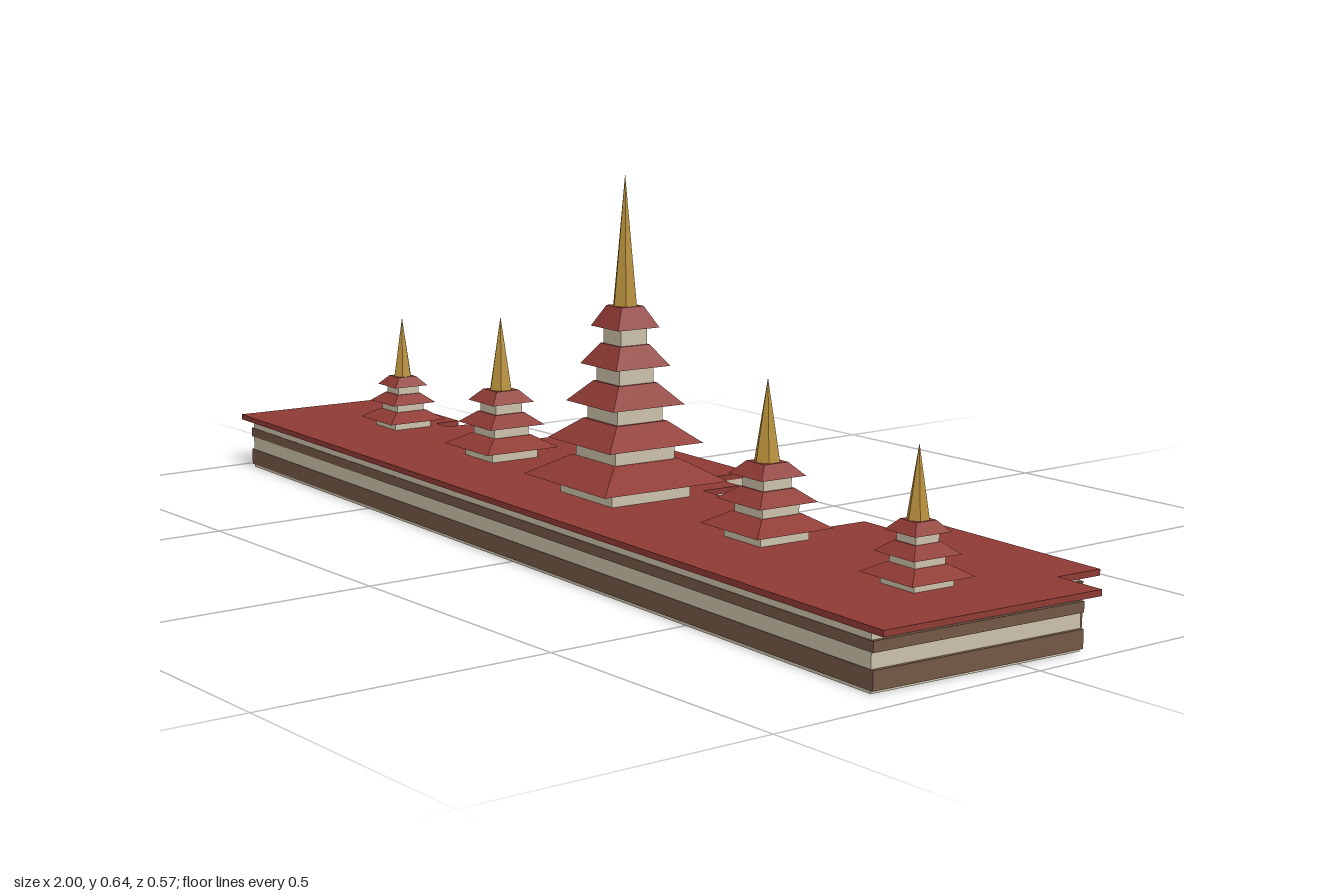
import * as THREE from 'three';

const mat = (name, color) => {
  const m = new THREE.MeshStandardMaterial({ color, flatShading: true });
  m.name = name;
  return m;
};

// Plan of the terrace: x, z, seen from above
const OUTLINE = [
  [-0.99, 0.228], [0.99, 0.228], [0.99, -0.181], [0.898, -0.181],
  [0.898, -0.267], [0.534, -0.267], [0.534, -0.181], [0.448, -0.181],
  [0.448, -0.104], [0.11, -0.104], [0.11, -0.181], [0.025, -0.181],
  [0.025, -0.267], [-0.36, -0.267], [-0.36, -0.181], [-0.447, -0.181],
  [-0.447, -0.038], [-0.513, -0.038], [-0.513, -0.107], [-0.647, -0.107],
  [-0.647, -0.042], [-0.69, -0.042], [-0.69, -0.092], [-0.99, -0.092],
];

export function createModel() {
  const red = mat('roof red', 0x8f3a34);
  const cream = mat('wall cream', 0xcbc0aa);
  const brown = mat('band brown', 0x735845);
  const gold = mat('spire gold', 0xb8903c);

  const model = new THREE.Group();
  model.name = 'templeTerrace';
  model.rotation.y = -0.0555;

  const add = (parent, name, geometry, material, y = 0) => {
    const mesh = new THREE.Mesh(geometry, material);
    mesh.name = name;
    mesh.position.y = y;
    parent.add(mesh);
    return mesh;
  };

  // Horizontal slab following the plan, scaled about the centre
  const slab = (name, scale, y0, y1, material) => {
    const shape = new THREE.Shape(
      OUTLINE.map(([x, z]) => new THREE.Vector2(x * scale, -z * scale)));
    const geo = new THREE.ExtrudeGeometry(shape, { depth: y1 - y0, bevelEnabled: false });
    add(model, name, geo.rotateX(-Math.PI / 2), material, y0);
  };
  slab('wall', 0.964, 0, 0.09, cream);
  slab('lowerBand', 0.97, 0.005, 0.035, brown);
  slab('upperBand', 0.97, 0.06, 0.077, brown);
  slab('terraceRoof', 1, 0.09, 0.1, red);

  // Square frustum standing on its base
  const frustum = (bottom, top, h) =>
    new THREE.CylinderGeometry(top * Math.SQRT1_2, bottom * Math.SQRT1_2, h, 4)
      .rotateY(Math.PI / 4).translate(0, h / 2, 0);

  // Tiered tower: each storey is a square body under a sloping roof
  const tower = (name, x, { tiers, width, bodyH, roofH, spireR, spireH }) => {
    const group = new THREE.Group();
    group.name = name;
    group.position.set(x, 0.1, 0.022);
    let y = 0;
    for (let i = 0; i < tiers; i++) {
      const w = width * 0.76 ** i;
      add(group, 'towerBody', frustum(w * 0.635, w * 0.635, bodyH), cream, y);
      add(group, 'towerRoof', frustum(w, w * 0.54, roofH), red, y + bodyH);
      y += bodyH + roofH;
    }
    const spire = new THREE.ConeGeometry(spireR, spireH, 6).translate(0, spireH / 2, 0);
    add(group, 'spire', spire, gold, y);
    model.add(group);
  };

  const small = { tiers: 3, width: 0.12, bodyH: 0.0155, roofH: 0.017, spireR: 0.018, spireH: 0.113 };
  const medium = { tiers: 3, width: 0.15, bodyH: 0.02, roofH: 0.021, spireR: 0.022, spireH: 0.133 };
  const large = { tiers: 5, width: 0.249, bodyH: 0.0289, roofH: 0.0357, spireR: 0.022, spireH: 0.221 };
  tower('rightOuterTower', -0.707, small);
  tower('rightInnerTower', -0.344, medium);
  tower('mainTower', 0.057, large);
  tower('leftInnerTower', 0.454, medium);
  tower('leftOuterTower', 0.817, small);

  const root = new THREE.Group();
  root.name = 'temple';
  root.add(model);
  return root;
}
